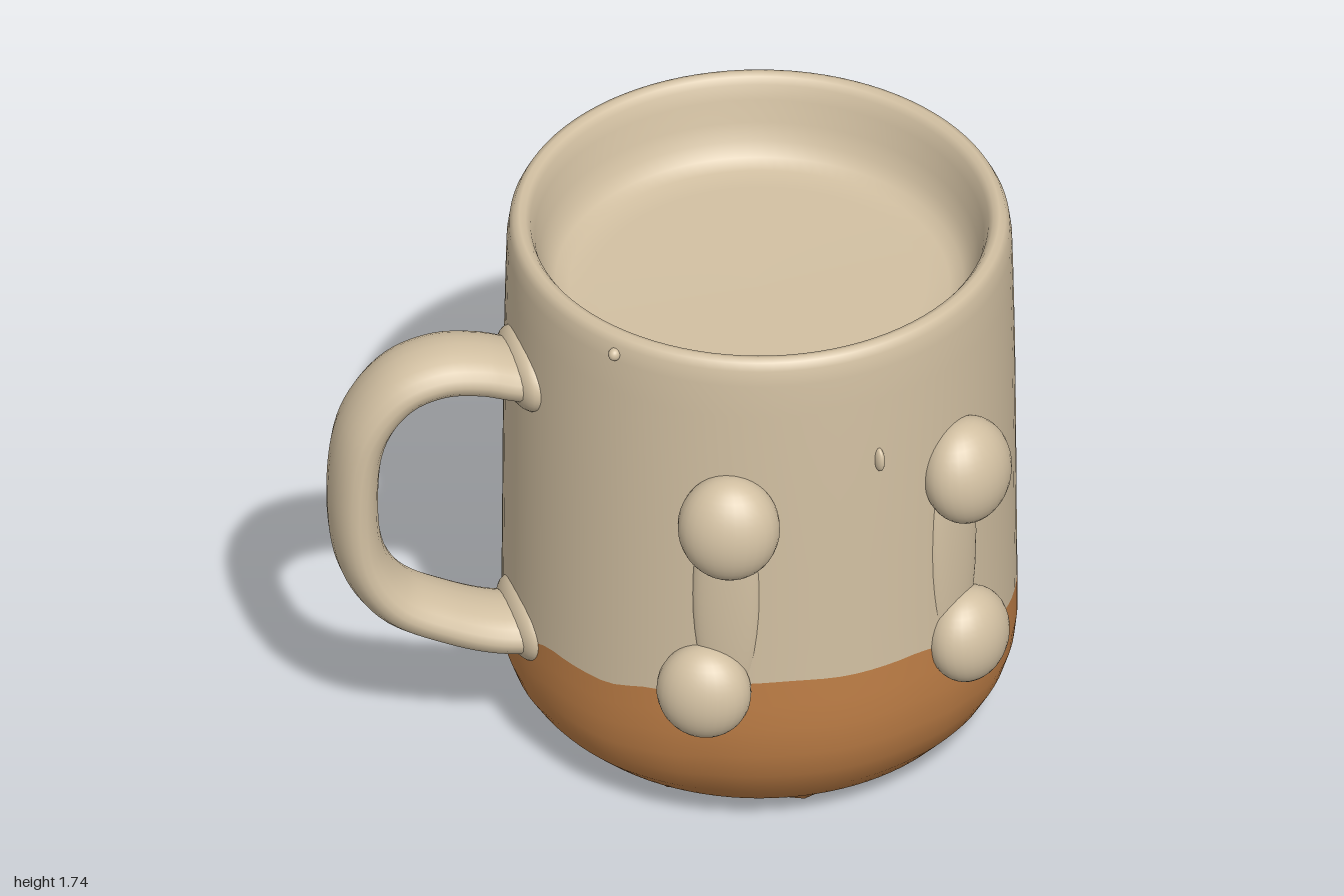
import * as THREE from 'three';

const CX = 0.22, CZ = -0.03; // axis of the cup
const SEAM = 0.5;            // nominal glaze height

// glaze edge height every 15 degrees, from +x towards +z
const EDGE = [0.46, 0.48, 0.55, 0.59, 0.59, 0.60, 0.59, 0.53, 0.49, 0.49, 0.43, 0.41,
  0.43, 0.46, 0.50, 0.53, 0.48, 0.46, 0.50, 0.57, 0.55, 0.51, 0.47, 0.46];

function edgeHeight(angle) {
  const t = ((angle / (Math.PI * 2) + 1) % 1) * EDGE.length;
  const i = Math.floor(t) % EDGE.length, f = t - Math.floor(t);
  const s = f * f * (3 - 2 * f);
  return EDGE[i] * (1 - s) + EDGE[(i + 1) % EDGE.length] * s;
}

// lathe whose rings near the seam follow the wavy glaze edge
function wavyLathe(points, falloff) {
  const geo = new THREE.LatheGeometry(points.map(p => new THREE.Vector2(p[0], p[1])), 96);
  const pos = geo.attributes.position;
  for (let i = 0; i < pos.count; i++) {
    const y = pos.getY(i);
    const w = Math.max(0, 1 - Math.abs(y - SEAM) / falloff);
    if (w > 0) pos.setY(i, y + w * (edgeHeight(Math.atan2(pos.getZ(i), pos.getX(i))) - SEAM));
  }
  return geo;
}

export function createModel() {
  const glaze = new THREE.MeshStandardMaterial({ color: 0xd2c0a2 });
  glaze.name = 'cream glaze';
  const clay = new THREE.MeshStandardMaterial({ color: 0xbe7e46 });
  clay.name = 'bare orange clay';

  const model = new THREE.Group();
  model.name = 'mug';
  const cup = new THREE.Group();
  cup.name = 'cup';
  cup.position.set(CX, 0, CZ);
  model.add(cup);

  const add = (parent, name, geo, mat) => {
    const mesh = new THREE.Mesh(geo, mat);
    mesh.name = name;
    parent.add(mesh);
    return mesh;
  };

  // rounded clay base
  add(cup, 'clayBase', wavyLathe([
    [0, 0.04], [0.5, 0.045], [0.57, 0.06], [0.64, 0.095], [0.69, 0.145],
    [0.725, 0.21], [0.745, 0.28], [0.753, 0.36], [0.753, 0.43], [0.752, SEAM],
  ], 0.4), clay);

  // faceted foot
  const foot = add(cup, 'foot', new THREE.CylinderGeometry(0.59, 0.53, 0.06, 8).toNonIndexed(), clay);
  foot.position.y = 0.03;
  foot.rotation.y = Math.PI / 8;

  // glazed wall, rim and shallow inside
  add(cup, 'glazedWall', wavyLathe([
    [0.752, SEAM], [0.75, 0.7], [0.748, 1.0], [0.745, 1.3], [0.74, 1.55], [0.737, 1.66],
    [0.73, 1.71], [0.718, 1.733], [0.7, 1.74], [0.682, 1.734], [0.668, 1.715], [0.655, 1.67],
    [0.64, 1.6], [0.622, 1.545], [0.595, 1.505], [0.555, 1.487], [0.48, 1.48], [0, 1.478],
  ], 0.3), glaze);

  // place a flattened ball on the wall at an angle given in degrees
  const ball = new THREE.SphereGeometry(1, 28, 20);
  const onWall = (name, deg, r, y, radial, tall, wide) => {
    const a = THREE.MathUtils.degToRad(deg);
    const mesh = add(cup, name, ball, glaze);
    mesh.position.set(Math.cos(a) * r, y, Math.sin(a) * r);
    mesh.rotation.y = -a;
    mesh.scale.set(radial, tall, wide);
    return mesh;
  };

  // knobs, with soft ridges joining the upper and lower ones
  for (const deg of [88.5, 31, -71]) {
    onWall('upperKnob', deg, 0.78, 1.18, 0.115, 0.165, 0.15).rotation.z = 0.15;
    onWall('ridge', deg + 1, 0.735, 0.9, 0.035, 0.42, 0.1);
  }
  for (const deg of [94, 30, -71, 219]) {
    onWall('lowerKnob', deg, 0.775, 0.575, 0.105, 0.148, 0.14).rotation.z = 0.1;
  }
  // small drips of glaze
  onWall('drip', 54, 0.745, 1.34, 0.025, 0.04, 0.014);
  onWall('drip', 117, 0.735, 1.68, 0.02, 0.02, 0.018);

  // handle, a wide flattened loop
  const path = new THREE.CatmullRomCurve3([
    [0.1, 1.32], [-0.05, 1.365], [-0.13, 1.39], [-0.25, 1.4], [-0.37, 1.355], [-0.47, 1.22], [-0.505, 1.0],
    [-0.48, 0.75], [-0.39, 0.6], [-0.23, 0.505], [-0.08, 0.45], [0.1, 0.43],
  ].map(p => new THREE.Vector3(p[0], p[1], 0)));
  const handle = add(model, 'handle', new THREE.TubeGeometry(path, 72, 0.073, 20), glaze);
  handle.scale.z = 1.75;
  handle.position.set(-0.43, 0, 0.3);
  handle.rotation.y = 0.32;

  // flared joints where the handle meets the wall
  for (const y of [1.355, 0.45]) {
    onWall('handleJoint', 153.5, 0.73, y, 0.06, 0.11, 0.165);
  }
  return model;
}
